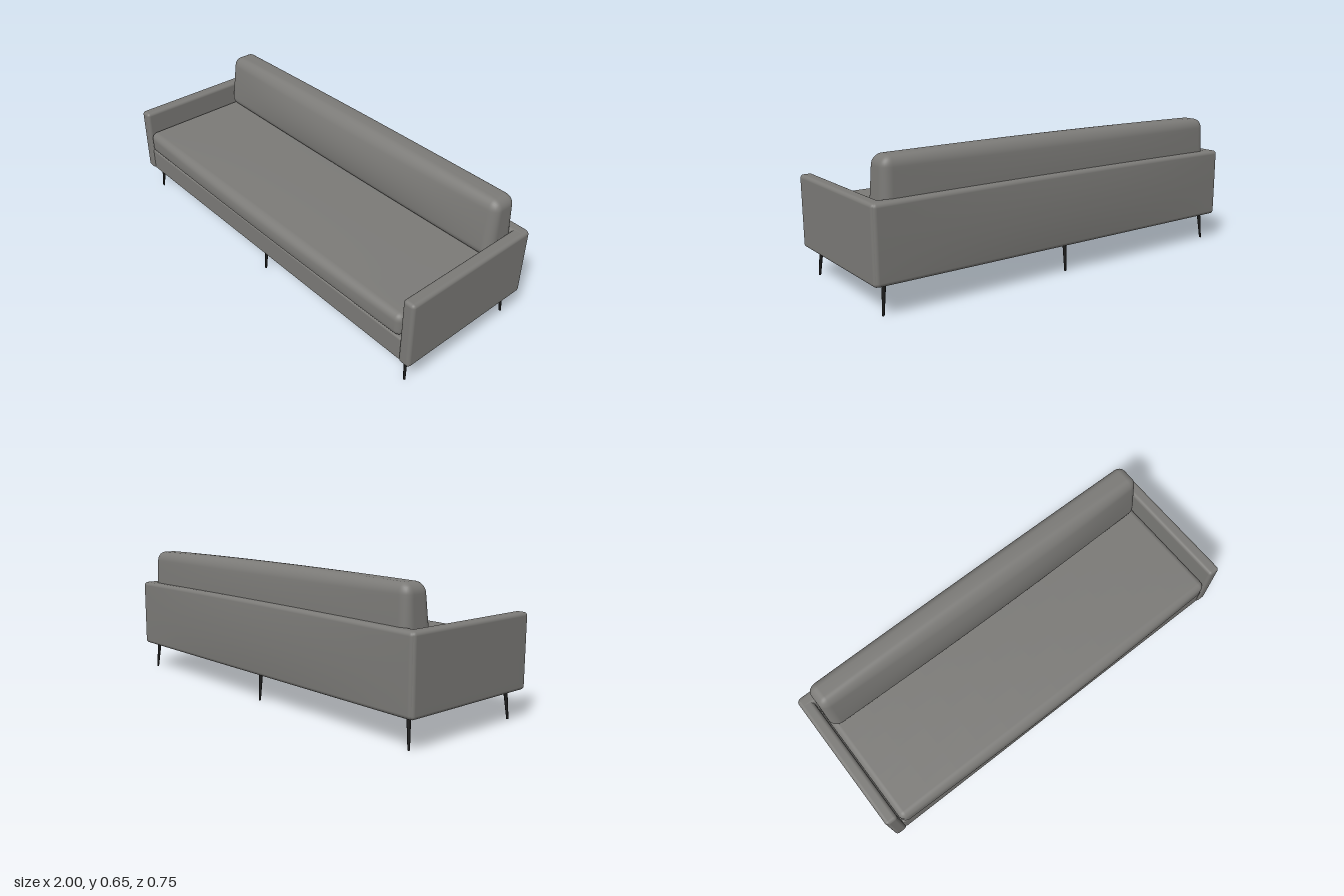
import * as THREE from 'three';
import { mergeVertices } from 'three/addons/utils/BufferGeometryUtils.js';

const fabric = new THREE.MeshStandardMaterial({ color: 0x7b7a77 });
fabric.name = 'grey fabric';
const metal = new THREE.MeshStandardMaterial({ color: 0x1a1a1a });
metal.name = 'black metal';

const CORNER = 4, SEGS = 20;

// Soft box between two corners; deform(p, u) may move each vertex,
// where u runs from -1 to 1 on every axis.
function softBox(name, min, max, radius, deform) {
  const half = new THREE.Vector3().subVectors(max, min).multiplyScalar(0.5);
  const centre = new THREE.Vector3().addVectors(max, min).multiplyScalar(0.5);
  let geo = new THREE.BoxGeometry(2, 2, 2, SEGS, SEGS, SEGS);
  geo.deleteAttribute('uv');
  geo.deleteAttribute('normal');
  geo = mergeVertices(geo, 1e-4);
  const pos = geo.attributes.position;
  const p = new THREE.Vector3(), u = new THREE.Vector3(), off = new THREE.Vector3();
  for (let i = 0; i < pos.count; i++) {
    p.fromBufferAttribute(pos, i);
    for (const a of ['x', 'y', 'z']) {
      const inner = half[a] - radius;
      const k = Math.round(Math.abs(p[a]) * SEGS / 2);
      const flat = SEGS / 2 - CORNER;
      const s = Math.sign(p[a]);
      off[a] = k > flat ? s * Math.tan((k - flat) / CORNER * Math.PI / 4) : 0;
      p[a] = s * inner * Math.min(k / flat, 1);
    }
    p.addScaledVector(off.normalize(), radius);
    u.copy(p).divide(half);
    p.add(centre);
    if (deform) deform(p, u);
    pos.setXYZ(i, p.x, p.y, p.z);
  }
  geo.computeVertexNormals();
  const mesh = new THREE.Mesh(geo, fabric);
  mesh.name = name;
  return mesh;
}

const v = (x, y, z) => new THREE.Vector3(x, y, z);
const dome = (a, b) => (1 - a * a) * (1 - b * b);

// Slim tapered leg splaying out towards the floor
function leg(name, x, z) {
  const top = 0.15;
  const geo = new THREE.CylinderGeometry(0.01, 0.005, top, 12);
  geo.translate(0, top / 2, 0);
  const pos = geo.attributes.position;
  for (let i = 0; i < pos.count; i++) {
    const t = 1 - pos.getY(i) / top;
    pos.setX(i, pos.getX(i) + x + Math.sign(x) * 0.013 * t);
    pos.setZ(i, pos.getZ(i) + z + Math.sign(z) * 0.01 * t);
  }
  geo.computeVertexNormals();
  const mesh = new THREE.Mesh(geo, metal);
  mesh.name = name;
  return mesh;
}

export function createModel() {
  const sofa = new THREE.Group();
  sofa.name = 'sofa';

  // Base under the seat
  sofa.add(softBox('seatBase', v(-0.945, 0.138, -0.33), v(0.945, 0.257, 0.355), 0.01, (p, u) => {
    if (u.y < 0) p.y -= 0.005 * dome(u.x, u.z);
  }));

  // Back panel, gently bulging to the rear
  sofa.add(softBox('backPanel', v(-0.996, 0.135, -0.368), v(0.996, 0.475, -0.305), 0.018, (p, u) => {
    if (u.z < 0) p.z -= 0.01 * dome(u.x, u.y);
    if (u.y > 0) p.y += 0.007 * (1 - u.x * u.x);
  }));

  // Arms
  for (const s of [-1, 1]) {
    const x = s * 0.97;
    sofa.add(softBox(s > 0 ? 'leftArm' : 'rightArm',
      v(x - 0.03, 0.135, -0.363), v(x + 0.03, 0.475, 0.36), 0.016));
  }

  // Seat cushion
  sofa.add(softBox('seatCushion', v(-0.938, 0.255, -0.3), v(0.938, 0.37, 0.362), 0.032, (p, u) => {
    if (u.z > 0) p.z += 0.015 * dome(u.x, u.y);
    if (u.y > 0) p.y += 0.008 * dome(u.x, u.z);
  }));

  // Back cushion, narrowing upwards and plump in the middle
  sofa.add(softBox('backCushion', v(-0.937, 0.365, -0.335), v(0.937, 0.645, -0.17), 0.045, (p, u) => {
    const t = (u.y + 1) / 2;
    p.z = -0.252 - 0.012 * t + (p.z + 0.2525) * (1 - 0.24 * t);
    p.x *= 1 - 0.012 * t;
    p.z += (u.z > 0 ? 0.028 : -0.009) * dome(u.x, u.y) * Math.min(1, Math.abs(u.z) * 1.5);
    if (u.y > 0) p.y += 0.01 * dome(u.x, u.z);
  }));

  // Six legs
  for (const [xName, x] of [['Right', -0.935], ['Middle', 0], ['Left', 0.935]]) {
    sofa.add(leg('front' + xName + 'Leg', x, 0.305));
    sofa.add(leg('back' + xName + 'Leg', x, -0.312));
  }
  return sofa;
}
